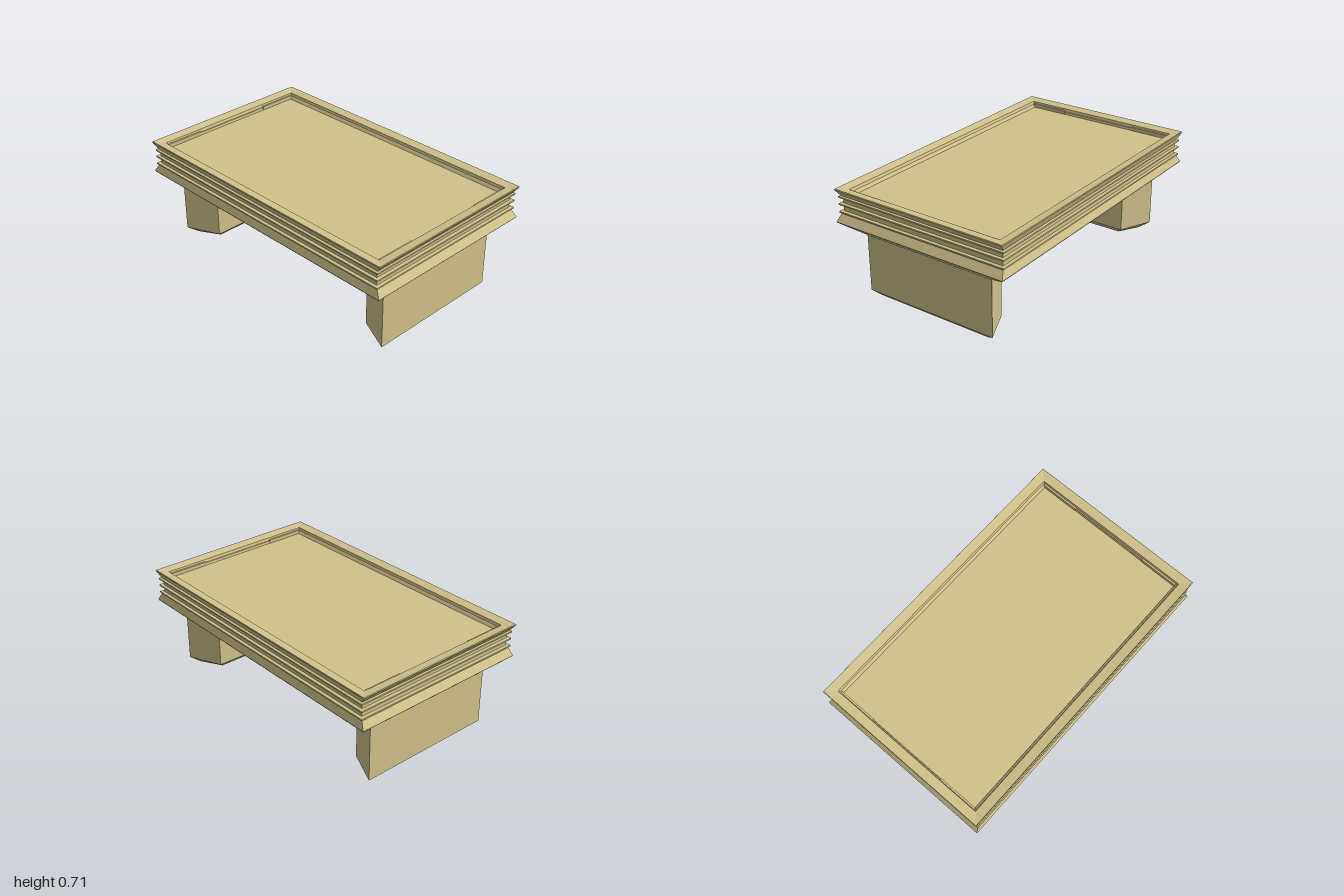
import * as THREE from 'three';

// Closed loft through four-cornered loops, listed counterclockwise seen from above
function loft(loops, material, name) {
  const pos = [];
  const quad = (a, b, c, d) => pos.push(...a, ...b, ...c, ...a, ...c, ...d);
  for (let k = 0; k < loops.length - 1; k++) {
    const lo = loops[k], hi = loops[k + 1];
    for (let i = 0; i < 4; i++) {
      const j = (i + 1) % 4;
      quad(lo[i], lo[j], hi[j], hi[i]);
    }
  }
  const base = loops[0], top = loops[loops.length - 1];
  quad(base[3], base[2], base[1], base[0]);
  quad(top[0], top[1], top[2], top[3]);
  const geo = new THREE.BufferGeometry();
  geo.setAttribute('position', new THREE.Float32BufferAttribute(pos, 3));
  geo.computeVertexNormals();
  const mesh = new THREE.Mesh(geo, material);
  mesh.name = name;
  return mesh;
}

// Centred rectangle: half width, half depth, height
const rect = ([x, z, y]) => [[x, y, z], [x, y, -z], [-x, y, -z], [-x, y, z]];

export function createModel() {
  const stone = new THREE.MeshStandardMaterial({ color: 0xd0c28b, flatShading: true });
  stone.name = 'sandstone';
  const group = new THREE.Group();
  group.name = 'stoneTable';

  // Slab: tapered underside, flared edges with three beads, sunken top
  const profile = [
    [0.68, 0.36, 0.355], [0.9, 0.46, 0.413],
    [0.995, 0.603, 0.49], [1.0, 0.607, 0.497],
    [0.968, 0.588, 0.55],
  ];
  for (const y of [0.551, 0.601, 0.647]) {
    profile.push([0.957, 0.58, y], [0.978, 0.6, y + 0.001],
      [0.978, 0.6, y + 0.01], [0.957, 0.58, y + 0.011]);
  }
  profile.push(
    [0.968, 0.588, 0.662], [1.0, 0.607, 0.705], [0.997, 0.605, 0.71],
    [0.937, 0.546, 0.7], [0.932, 0.54, 0.682],
    [0.926, 0.535, 0.68], [0.922, 0.525, 0.665],
  );
  group.add(loft(profile.map(rect), stone, 'tableSlab'));

  // Thin cleats along both ends of the sunken top
  for (const sx of [1, -1]) {
    for (const sz of [1, -1]) {
      const cleat = new THREE.Mesh(new THREE.BoxGeometry(0.012, 0.025, 0.26), stone);
      cleat.position.set(sx * 0.926, 0.677, sz * 0.4);
      cleat.name = 'rimCleat';
      group.add(cleat);
    }
  }

  // Slab legs, narrower on the inner side, with chamfered feet
  const legLoop = (side, inX, outX, inZ, outZ, y) => {
    const loop = [[outX, y, outZ], [outX, y, -outZ], [inX, y, -inZ], [inX, y, inZ]];
    return side > 0 ? loop : loop.map(([x, h, z]) => [-x, h, z]).reverse();
  };
  for (const side of [1, -1]) {
    group.add(loft([
      legLoop(side, 0.72, 0.86, 0.32, 0.4, 0),
      legLoop(side, 0.68, 0.9, 0.36, 0.46, 0.04),
      legLoop(side, 0.68, 0.9, 0.36, 0.46, 0.413),
    ], stone, side > 0 ? 'leftLeg' : 'rightLeg'));
  }
  return group;
}
